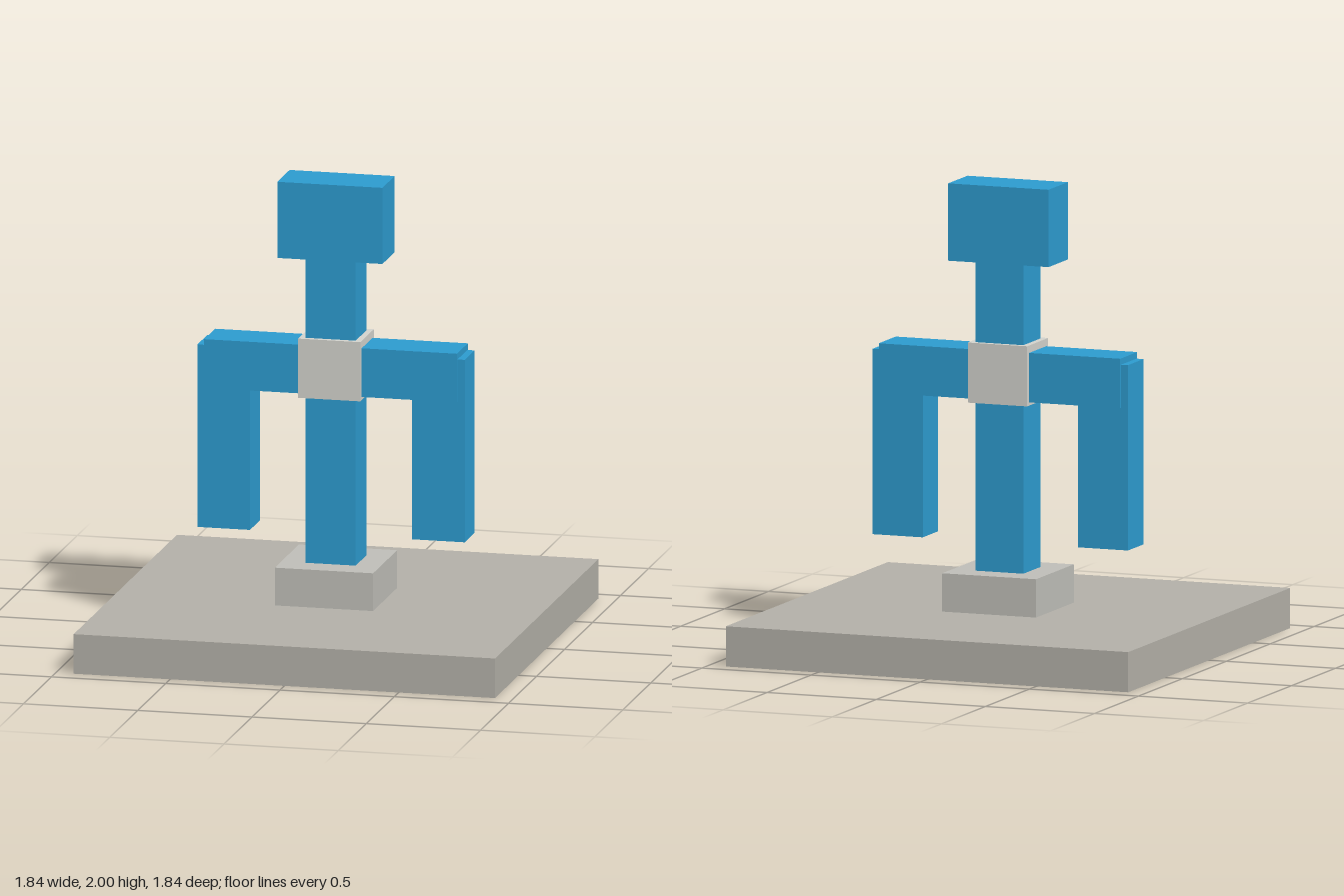
import * as THREE from 'three';

const material = (color) => new THREE.MeshStandardMaterial({ color });

export function createModel() {
  const model = new THREE.Group();
  model.name = 'postFigure';

  const blue = material(0x2d9cd0);
  const baseGrey = material(0xb4b1a9);
  const plinthGrey = material(0xc0bfb9);
  const claspGrey = material(0xd4d4ce);

  // Box given by its width, depth, bottom and top heights, and x centre
  function block(name, mat, width, depth, bottom, top, x = 0) {
    const mesh = new THREE.Mesh(new THREE.BoxGeometry(width, top - bottom, depth), mat);
    mesh.name = name;
    mesh.position.set(x, (bottom + top) / 2, 0);
    model.add(mesh);
  }

  // Stand
  block('basePlate', baseGrey, 1.844, 1.844, 0, 0.173);
  block('plinth', plinthGrey, 0.43, 0.43, 0.173, 0.338);

  // Upright and head
  block('post', blue, 0.22, 0.196, 0.338, 1.667);
  block('head', blue, 0.46, 0.22, 1.667, 2);

  // Shoulders, with the clasp around the crossing
  block('crossbar', blue, 1.106, 0.194, 1.077, 1.29);
  block('clasp', claspGrey, 0.272, 0.24, 1.063, 1.322);

  // Hanging arms
  for (const [name, side] of [['leftArm', 1], ['rightArm', -1]]) {
    block(name, blue, 0.23, 0.176, 0.465, 1.263, side * 0.47);
  }

  return model;
}
